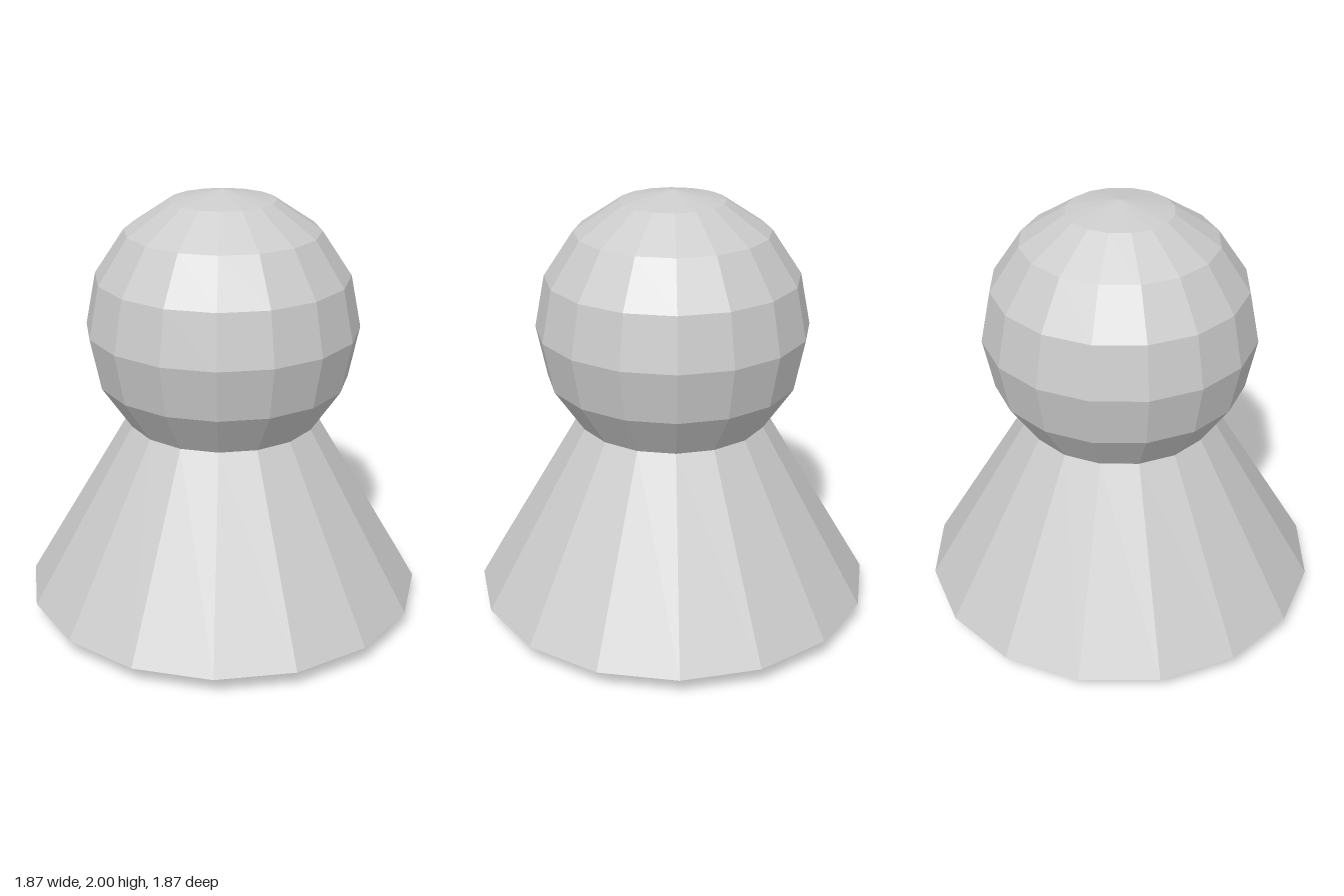
import * as THREE from 'three';

const SIDES = 16;

export function createModel() {
  const group = new THREE.Group();
  const material = new THREE.MeshStandardMaterial({ color: 0xcccccc, flatShading: true });

  const add = (name, geometry, y = 0) => {
    const mesh = new THREE.Mesh(geometry, material);
    mesh.name = name;
    mesh.position.y = y;
    group.add(mesh);
  };

  // Flared base: bevelled foot, sloping skirt, narrow central bore and hollow underside
  const profile = [
    [0.73, 0], [0.933, 0.095], [0.442, 0.933],
    [0.133, 0.933], [0.133, 0.32], [0.73, 0],
  ].map(([r, y]) => new THREE.Vector2(r, y));
  add('base', new THREE.LatheGeometry(profile, SIDES));

  // Faceted ball resting in the top of the base
  add('ball', new THREE.SphereGeometry(0.625, SIDES, 8), 1.375);

  return group;
}
